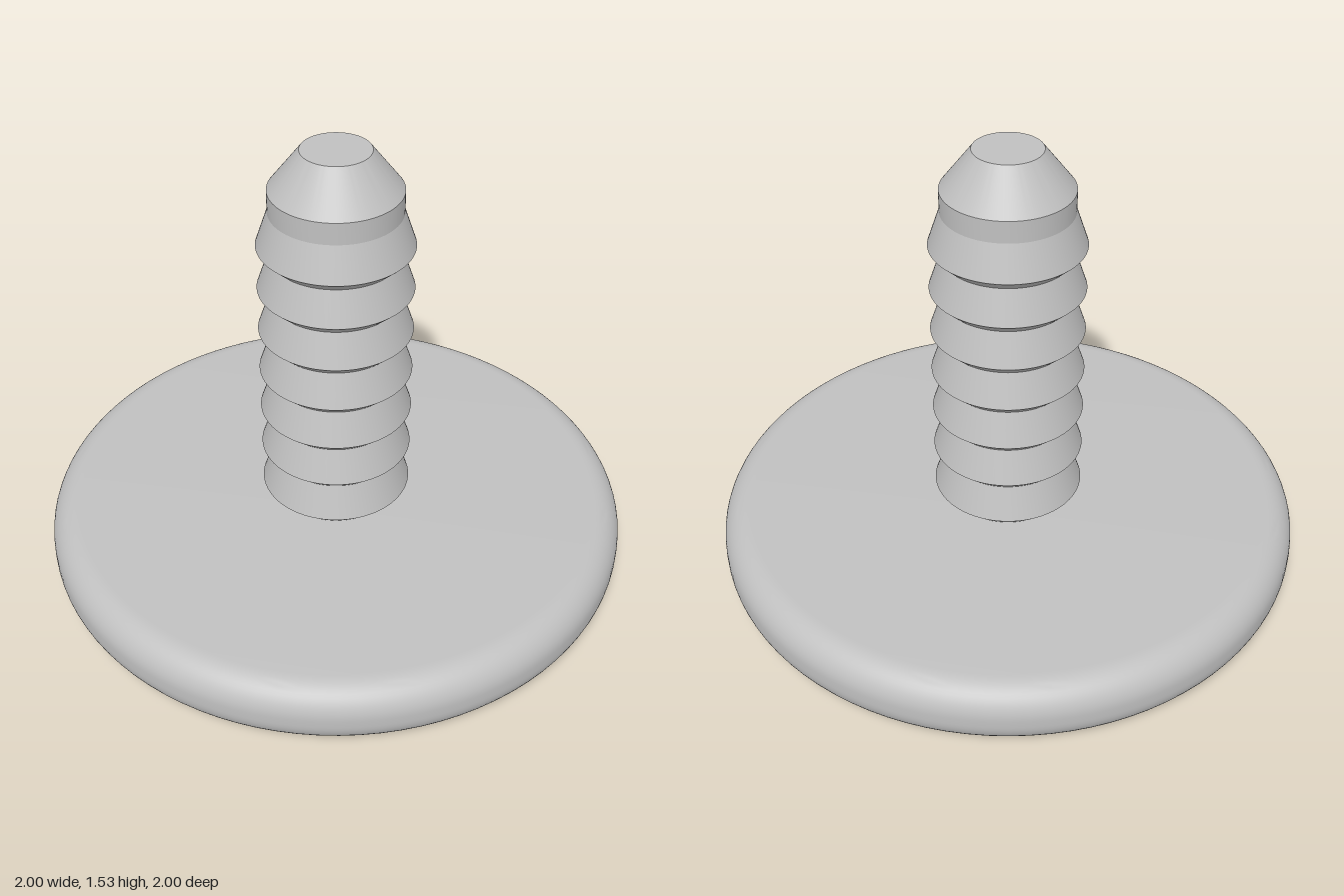
import * as THREE from 'three';
import { toCreasedNormals } from 'three/addons/utils/BufferGeometryUtils.js';

const SEGMENTS = 96;
const DISC_TOP = 0.225;

// Revolve a profile (bottom to top), keeping its sharp rings crisp
function revolve(name, profile, material) {
  const points = profile.map(([r, y]) => new THREE.Vector2(r, y));
  const geometry = toCreasedNormals(new THREE.LatheGeometry(points, SEGMENTS), 0.28);
  const mesh = new THREE.Mesh(geometry, material);
  mesh.name = name;
  return mesh;
}

export function createModel() {
  const grey = new THREE.MeshStandardMaterial({ color: 0xc0c0c0 });
  grey.name = 'grey plastic';

  // Flat round head with rounded upper and lower rims
  const rim = 0.1;
  const steps = 12;
  const head = [[0, 0]];
  for (const [cy, start] of [[rim, -Math.PI / 2], [DISC_TOP - rim, 0]]) {
    for (let i = 0; i <= steps; i++) {
      const a = start + (i / steps) * Math.PI / 2;
      head.push([1 - rim + rim * Math.cos(a), cy + rim * Math.sin(a)]);
    }
  }
  head.push([0, DISC_TOP]);

  // Shank with seven barbs, each flaring downward to a sharp ring
  const core = 0.215;
  const barb = 0.255;
  const pitch = 0.1565;
  const shank = [[0.2, DISC_TOP - 0.01]];
  for (let i = 0; i < 7; i++) {
    const y = 0.267 + i * pitch;
    shank.push([core, y - 0.038], [barb, y]);
  }
  // Plain collar, tapered tip and flat end
  shank.push([core, 1.325], [core, 1.4], [0.113, 1.533], [0, 1.533]);

  const model = new THREE.Group();
  model.name = 'pushFastener';
  model.add(revolve('head', head, grey), revolve('barbedShank', shank, grey));
  return model;
}
